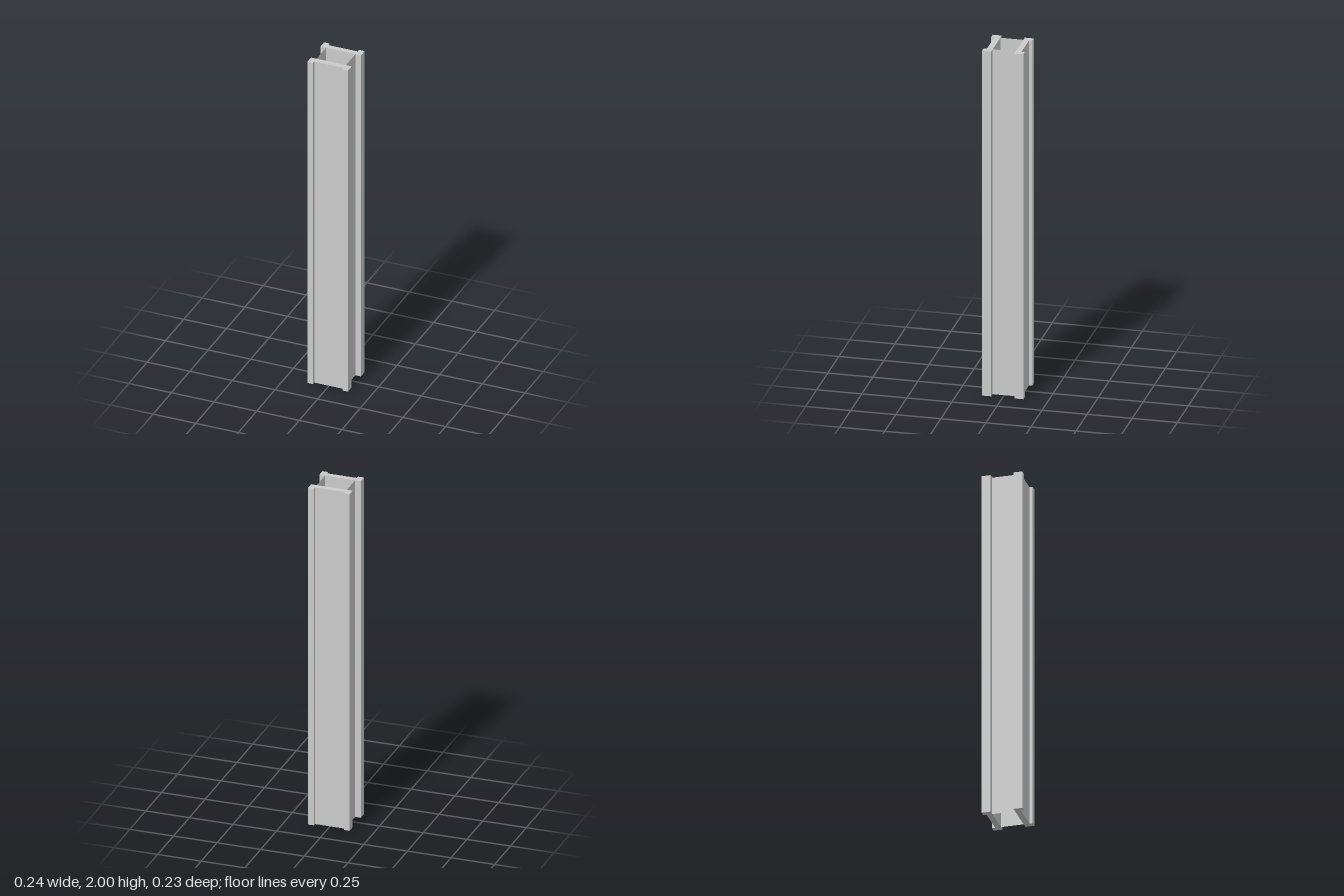
import * as THREE from 'three';

const HEIGHT = 2;
const HALF_W = 0.119;   // half width of a channel
const LIP_X = 0.086;    // inner edge of the lips, also the side walls
const Z_IN = 0.064;     // inner face of a channel
const Z_WEB = 0.096;    // outer face of the web
const Z_LIP = 0.114;    // outer face of the lips

export function createModel() {
  const model = new THREE.Group();
  model.name = 'column';
  const material = new THREE.MeshStandardMaterial({ color: 0xcccccc, flatShading: true });
  const sheet = new THREE.MeshStandardMaterial({ color: 0xcccccc, side: THREE.DoubleSide });

  // Channel section: a web with a lip at each end, extruded upwards
  const section = new THREE.Shape([
    [-HALF_W, -Z_LIP], [-LIP_X, -Z_LIP], [-LIP_X, -Z_WEB], [LIP_X, -Z_WEB],
    [LIP_X, -Z_LIP], [HALF_W, -Z_LIP], [HALF_W, -Z_IN], [-HALF_W, -Z_IN],
  ].map(([x, y]) => new THREE.Vector2(x, y)));
  const channel = new THREE.ExtrudeGeometry(section, { depth: HEIGHT, bevelEnabled: false });
  channel.rotateX(-Math.PI / 2);

  ['frontChannel', 'backChannel'].forEach((name, i) => {
    const mesh = new THREE.Mesh(channel, material);
    mesh.name = name;
    mesh.rotation.y = i * Math.PI;
    model.add(mesh);
  });

  // Thin side walls joining the two channels, open at top and bottom
  for (const side of [1, -1]) {
    const wall = new THREE.Mesh(new THREE.PlaneGeometry(2 * Z_IN, HEIGHT), sheet);
    wall.name = side > 0 ? 'leftWall' : 'rightWall';
    wall.rotation.y = side * Math.PI / 2;
    wall.position.set(side * LIP_X, HEIGHT / 2, 0);
    model.add(wall);
  }
  return model;
}
